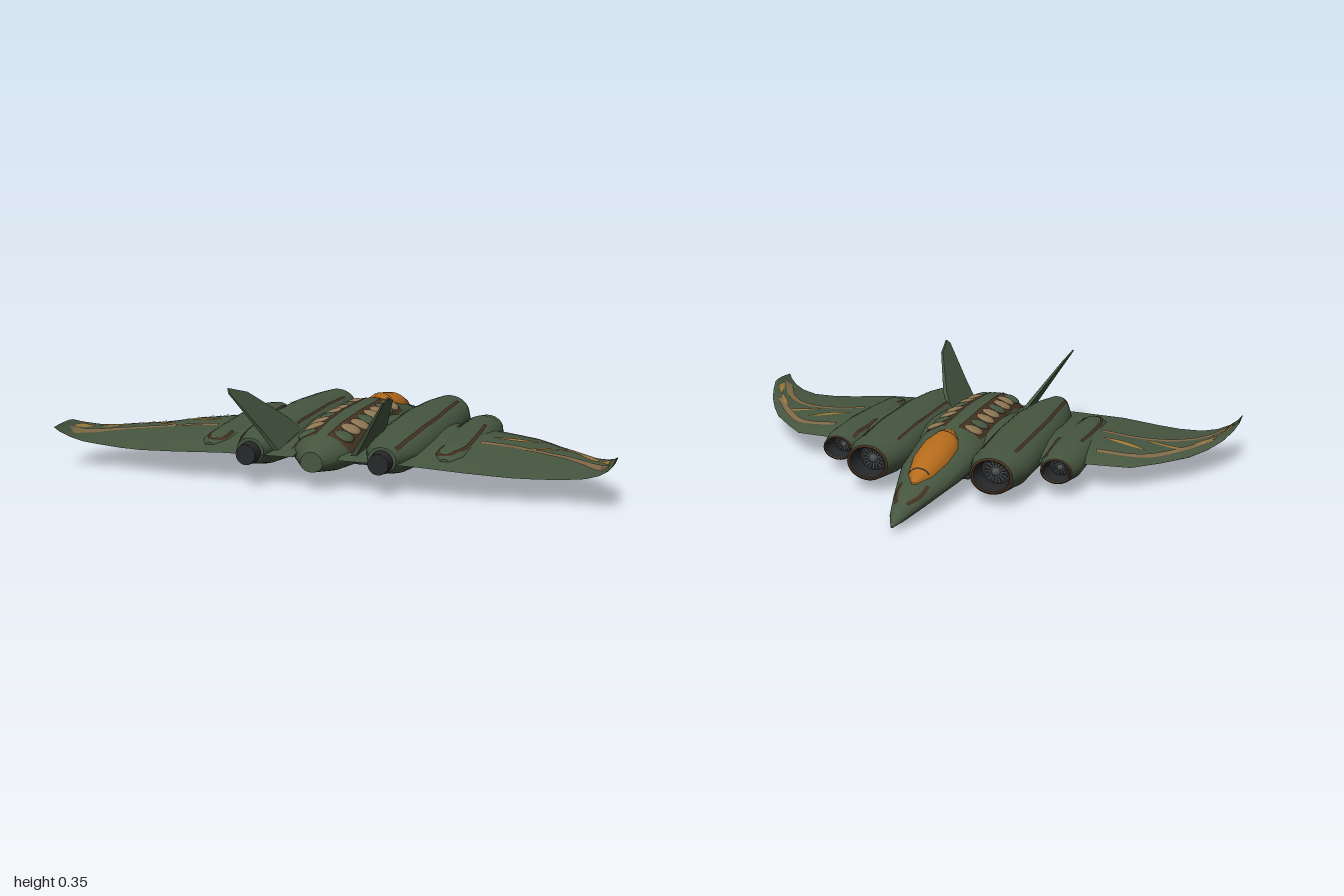
import * as THREE from 'three';
import { toCreasedNormals } from 'three/addons/utils/BufferGeometryUtils.js';
import { RoundedBoxGeometry } from 'three/addons/geometries/RoundedBoxGeometry.js';

const paint = (name, color) => Object.assign(new THREE.MeshStandardMaterial({ color }), { name });
const M = {
  green: paint('hull green', 0x465640),
  orange: paint('canopy orange', 0xb66c1c),
  tan: paint('stripe tan', 0x806a48),
  muscle: paint('vent tan', 0x8c7552),
  ochre: paint('marking ochre', 0xa07e3c),
  rust: paint('seam rust', 0x453222),
  dark: paint('engine charcoal', 0x26282a),
  steel: paint('fan steel', 0x4c4e50),
};

// Body sections: [z, halfWidth, yBottom, yMiddle, yTop]
const FUSELAGE = [
  [-.683, .004, .02, .023, .028], [-.625, .03, .02, .04, .066], [-.5, .065, .025, .06, .1],
  [-.4, .09, .03, .075, .125], [-.3, .115, .033, .09, .15], [-.15, .13, .03, .1, .18],
  [-.08, .135, .028, .105, .2], [.2, .14, .03, .105, .204], [.38, .135, .04, .105, .196],
  [.52, .105, .05, .105, .18], [.63, .04, .07, .1, .14]];
const CANOPY = [
  [-.475, .008, .09, .1, .113], [-.41, .045, .09, .11, .146], [-.3, .07, .1, .125, .184],
  [-.2, .073, .11, .14, .2], [-.13, .054, .13, .15, .206], [-.1, .035, .14, .16, .2]];
const MAIN = [
  [-.325, .08, .045, .112, .18], [-.22, .11, .035, .112, .186], [0, .115, .03, .115, .198],
  [.3, .11, .035, .115, .195], [.48, .09, .05, .118, .18], [.595, .05, .075, .12, .165]];
const OUTER = [
  [-.155, .06, .05, .095, .145], [-.08, .078, .042, .095, .156], [.1, .08, .045, .1, .156],
  [.3, .07, .06, .1, .147], [.45, .055, .08, .1, .137], [.51, .02, .09, .1, .12]];
const MAIN_X = .237, OUTER_X = .43;

// Wing stations: [x, leadingZ, trailingZ, yMiddle, thickness]
const WING = [
  [.08, -.12, .6, .11, .06], [.35, -.1, .59, .105, .04], [.52, -.04, .595, .098, .035],
  [.67, 0, .572, .088, .03], [.76, .09, .555, .086, .025], [.85, .18, .545, .09, .02],
  [.91, .265, .557, .1, .014], [.955, .34, .572, .117, .01], [.985, .41, .59, .138, .008],
  [1, .46, .603, .156, .006]];

function interpolate(table, k) {
  const i = table.findIndex((r, n) => n && k <= r[0]);
  if (i < 1 || k < table[0][0]) return null;
  const a = table[i - 1], b = table[i], t = (k - a[0]) / (b[0] - a[0]);
  return a.map((v, n) => v + (b[n] - v) * t);
}
const camber = t => Math.sin(Math.PI * Math.pow(Math.min(Math.max(t, 0), 1), .65));

// Height of the upper skin, used to lay markings on it
function skinY(x, z) {
  x = Math.abs(x);
  let y = 0;
  for (const [table, cx] of [[FUSELAGE, 0], [CANOPY, 0], [MAIN, MAIN_X], [OUTER, OUTER_X]]) {
    const s = interpolate(table, z), u = s && (x - cx) / s[1];
    if (s && Math.abs(u) < 1) y = Math.max(y, s[3] + (s[4] - s[3]) * Math.sqrt(1 - u * u));
  }
  const w = interpolate(WING, x);
  return w ? Math.max(y, w[3] + w[4] * camber((z - w[1]) / (w[2] - w[1]))) : y;
}

// Surface through rows of points; closed rows wrap round and may be capped
function grid(rows, closed, capA, capB) {
  const n = rows[0].length, pos = rows.flat(2), idx = [];
  for (let i = 0; i < rows.length - 1; i++) {
    for (let j = 0; j < (closed ? n : n - 1); j++) {
      const k = (j + 1) % n, a = i * n + j, b = i * n + k;
      idx.push(a, b, a + n, b, b + n, a + n);
    }
  }
  const cap = (row, base, flip) => {
    const c = pos.length / 3;
    for (let d = 0; d < 3; d++) pos.push(row.reduce((s, p) => s + p[d], 0) / n);
    for (let j = 0; j < n; j++) {
      const k = (j + 1) % n;
      idx.push(c, base + (flip ? k : j), base + (flip ? j : k));
    }
  };
  if (capA) cap(rows[0], 0, true);
  if (capB) cap(rows[rows.length - 1], (rows.length - 1) * n, false);
  const g = new THREE.BufferGeometry();
  g.setAttribute('position', new THREE.Float32BufferAttribute(pos, 3));
  g.setIndex(idx);
  return toCreasedNormals(g, .6);
}

function loft(sections, cx = 0, capA = true, capB = true, n = 40) {
  return grid(sections.map(([z, w, lo, mid, hi]) => Array.from({ length: n }, (_, j) => {
    const a = j / n * Math.PI * 2, s = Math.sin(a);
    return [cx + w * Math.cos(a), mid + s * (s > 0 ? hi - mid : mid - lo), z];
  })), true, capA, capB);
}

function add(parent, name, geometry, material, x = 0, y = 0, z = 0) {
  const m = new THREE.Mesh(geometry, material);
  m.name = name;
  m.position.set(x, y, z);
  parent.add(m);
  return m;
}

// Thin marking laid on the skin along [x, z] points; leaf tapers both ends
function band(parent, name, material, points, width, leaf = false) {
  const curve = new THREE.CatmullRomCurve3(points.map(([x, z]) => new THREE.Vector3(x, 0, z)));
  const steps = Math.max(6, Math.ceil(curve.getLength() / .015)), rows = [];
  for (let i = 0; i <= steps; i++) {
    const p = curve.getPointAt(i / steps), d = curve.getTangentAt(i / steps);
    const w = width * (leaf ? Math.sin(Math.PI * i / steps) + .02 : 1);
    rows.push([-.5, -.25, 0, .25, .5].map(k => {
      const x = p.x - d.z * w * k, z = p.z + d.x * w * k;
      return [x, skinY(x, z) + .003, z];
    }));
  }
  add(parent, name, grid(rows, false), material);
}

// Engine pod with rim, duct and fan
function engine(parent, name, sections, cx) {
  add(parent, name, loft(sections, cx, false, true), M.green);
  const s = sections[0], h = (s[4] - s[2]) / 2;
  const ring = (k, dz) => [s[0] + dz, s[1] * k, s[3] - (s[3] - s[2]) * k, s[3], s[3] + (s[4] - s[3]) * k];
  add(parent, name + 'Rim', loft([ring(.84, 0), ring(.9, -.004), ring(1, 0)], cx, false, false), M.rust);
  add(parent, name + 'Duct', loft([ring(.72, .07), ring(.84, 0)], cx, true, false), M.dark);
  const fan = new THREE.Group();
  fan.name = name + 'Fan';
  fan.position.set(cx, s[3], s[0] + .06);
  for (let i = 0; i < 8; i++) {
    const blade = add(fan, 'blade', new THREE.BoxGeometry(h * .1, h * 1.3, .004), M.steel);
    blade.rotation.z = i * Math.PI / 8;
  }
  add(fan, 'hub', new THREE.SphereGeometry(h * .25, 16, 10), M.steel);
  parent.add(fan);
}

function wingGeometry() {
  const n = 16;
  return grid(WING.map(([x, le, te, y, th]) => Array.from({ length: 2 * n }, (_, j) => {
    const t = j <= n ? j / n : 2 - j / n;
    return [x, y + th * camber(t) * (j <= n ? 1 : -.7), le + (te - le) * t];
  })), true, true, true);
}

// Leaning tail fin, thinner towards its tip
function finGeometry() {
  const shape = new THREE.Shape([[.34, .15], [.6, .13], [.62, .19], [.685, .335], [.67, .35], [.56, .32], [.38, .2]]
    .map(([z, y]) => new THREE.Vector2(z, y)));
  const g = new THREE.ExtrudeGeometry(shape, { depth: .02, bevelEnabled: false });
  g.translate(0, 0, -.01).rotateY(-Math.PI / 2);
  const p = g.attributes.position;
  for (let i = 0; i < p.count; i++) {
    const y = p.getY(i);
    p.setX(i, p.getX(i) * (1 - (y - .13) * 3.2) + .14 + (y - .13) * .64);
  }
  g.computeVertexNormals();
  return g;
}

function buildSide() {
  const side = new THREE.Group();
  add(side, 'wing', wingGeometry(), M.green);
  add(side, 'tailFin', finGeometry(), M.green);
  engine(side, 'mainEngine', MAIN, MAIN_X);
  engine(side, 'outerEngine', OUTER, OUTER_X);
  const nozzle = add(side, 'nozzle', new THREE.CylinderGeometry(.036, .042, .06, 24), M.dark, MAIN_X, .115, .606);
  nozzle.rotation.x = Math.PI / 2;

  // Wing stripes and markings
  band(side, 'frontStripe', M.tan, [[.53, .06], [.68, .09], [.8, .2], [.92, .36]].map(([x, z]) => [x, z - .01]), .026);
  band(side, 'rearStripe', M.tan, [[.5, .275], [.64, .27], [.8, .32], [.89, .4], [.97, .53]], .03);
  band(side, 'leafMark', M.ochre, [[.52, .19], [.6, .175], [.7, .14]], .035, true);
  for (let i = 0; i < 4; i++) {
    const x = .68 + i * .022, z = .265 - i * .012;
    band(side, 'clawMark', M.ochre, [[x, z], [x + .04, z - .025 + i * .006], [x + .085, z - .04 + i * .012]], .022, true);
  }
  band(side, 'tipMark', M.ochre, [[.85, .27], [.9, .34], [.935, .4]], .022, true);
  band(side, 'tipMark', M.ochre, [[.94, .4], [.965, .45], [.975, .5]], .02, true);

  // Weathered seams on pods and nose
  band(side, 'podSeam', M.rust, [[.295, -.22], [.305, 0], [.305, .25], [.29, .5], [.28, .57]], .012);
  band(side, 'podSeam', M.rust, [[.165, -.2], [.16, .1], [.16, .34]], .009);
  band(side, 'podSeam', M.rust, [[.38, -.12], [.375, .02], [.375, .1]], .012);
  band(side, 'podSeam', M.rust, [[.47, .06], [.475, .2], [.465, .42], [.43, .49], [.395, .46], [.395, .38]], .011);
  band(side, 'noseSeam', M.rust, [[.02, -.59], [.045, -.52], [.05, -.46]], .012);

  // Ribbed vent along the back
  band(side, 'ventBed', M.rust, [[.07, -.07], [.072, .2], [.065, .53]], .088);
  'mgmmgmmg'.split('').forEach((kind, i) => {
    const z = -.03 + i * .073, x = .074 - (i > 5 ? .008 : 0);
    const rib = add(side, 'ventRib', new THREE.SphereGeometry(1, 16, 10), kind === 'm' ? M.muscle : M.green,
      x, skinY(x, z) - .002, z);
    rib.scale.set(.038, .014, .037);
    rib.rotation.set(0, -.3, -.35);
  });

  // Belly skid
  add(side, 'skid', new RoundedBoxGeometry(.066, .014, .28, 3, .006), M.dark, .042, .007, .06);
  add(side, 'skidMount', new THREE.BoxGeometry(.03, .03, .16), M.dark, .042, .025, .07);
  return side;
}

export function createModel() {
  const craft = new THREE.Group();
  craft.name = 'aircraft';
  add(craft, 'fuselage', loft(FUSELAGE), M.green);
  add(craft, 'canopy', loft(CANOPY), M.orange);
  band(craft, 'canopyFrame', M.rust, [[-.038, -.415], [.038, -.415]], .007);
  band(craft, 'canopyFrame', M.rust, [[-.056, -.15], [.056, -.15]], .007);
  for (const s of [1, -1]) {
    const side = buildSide();
    side.name = s > 0 ? 'leftSide' : 'rightSide';
    side.scale.x = s;
    craft.add(side);
  }
  return craft;
}
